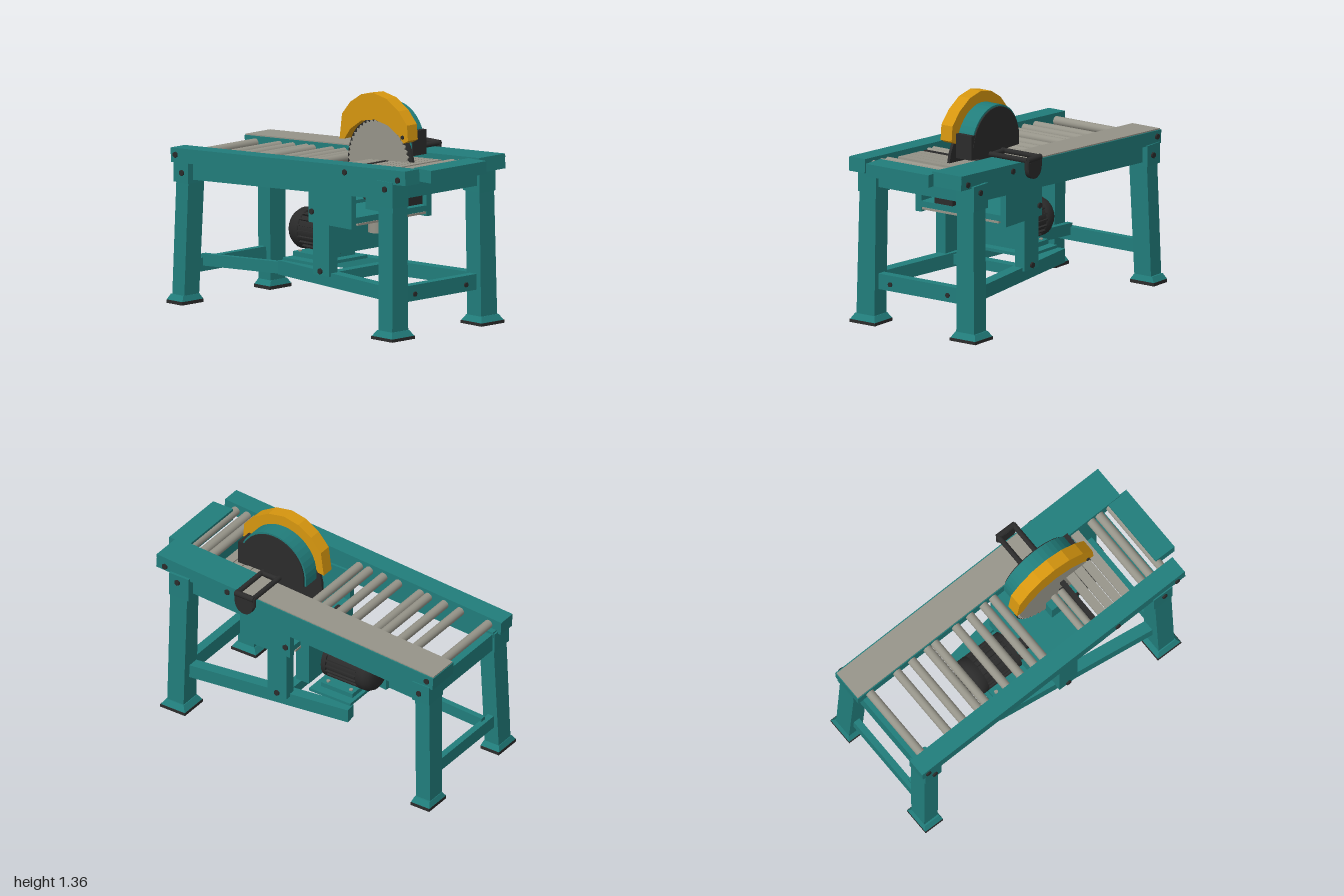
import * as THREE from 'three';

const mat = (name, color) => {
  const m = new THREE.MeshStandardMaterial({ color });
  m.name = name;
  return m;
};

export function createModel() {
  const root = new THREE.Group();
  root.name = 'rollerBenchSaw';
  const teal = mat('tealPaint', 0x217d7b), grey = mat('bareSteel', 0x969489);
  const dark = mat('blackRubber', 0x2b2b2b), yellow = mat('guardYellow', 0xd6960f);

  const add = (name, geo, m, x = 0, y = 0, z = 0) => {
    const mesh = new THREE.Mesh(geo, m);
    mesh.name = name;
    mesh.position.set(x, y, z);
    root.add(mesh);
    return mesh;
  };
  // box given by its limits
  const box = (name, m, x0, x1, y0, y1, z0, z1) =>
    add(name, new THREE.BoxGeometry(x1 - x0, y1 - y0, z1 - z0), m, (x0 + x1) / 2, (y0 + y1) / 2, (z0 + z1) / 2);
  // straight beam between two points, height h and depth d
  const beam = (name, m, a, b, h, d) => {
    const p = new THREE.Vector3(...a), q = new THREE.Vector3(...b);
    const mesh = add(name, new THREE.BoxGeometry(p.distanceTo(q), h, d), m);
    mesh.position.copy(p).add(q).multiplyScalar(0.5);
    mesh.quaternion.setFromUnitVectors(new THREE.Vector3(1, 0, 0), q.sub(p).normalize());
    return mesh;
  };
  // tapered post between two rectangles [x, y, z, width, depth]
  const post = (name, m, lo, hi) => {
    const g = new THREE.BoxGeometry(1, 1, 1), p = g.attributes.position;
    for (let i = 0; i < p.count; i++) {
      const e = p.getY(i) > 0 ? hi : lo;
      p.setXYZ(i, e[0] + p.getX(i) * e[3], e[1], e[2] + p.getZ(i) * e[4]);
    }
    g.computeVertexNormals();
    return add(name, g, m);
  };
  // cylinder along x, y or z
  const rod = (name, m, axis, r, len, x, y, z, seg = 16) => {
    const g = new THREE.CylinderGeometry(r, r, len, seg);
    if (axis === 'x') g.rotateZ(Math.PI / 2);
    if (axis === 'z') g.rotateX(Math.PI / 2);
    return add(name, g, m, x, y, z);
  };
  const plate = (name, m, pts, z0, z1) => {
    const s = new THREE.Shape(pts.map(p => new THREE.Vector2(p[0], p[1])));
    return add(name, new THREE.ExtrudeGeometry(s, { depth: z1 - z0, bevelEnabled: false }), m, 0, 0, z0);
  };
  const top = x => 0.912 + 0.0605 * (x + 1); // sloping bed surface

  // Sloping side rails
  const rail = (name, m, x0, x1, drop, h, z0, z1) => {
    const z = (z0 + z1) / 2, c = drop + h / 2;
    return beam(name, m, [x0, top(x0) - c, z], [x1, top(x1) - c, z], h, z1 - z0);
  };
  rail('frontRail', teal, -0.997, 0.95, 0, 0.085, 0.295, 0.41);
  rail('backRail', teal, -0.997, 0.95, 0.004, 0.081, -0.4, -0.19);
  rail('backRailCover', teal, 0.35, 0.95, -0.002, 0.02, -0.4, -0.19);
  rail('fencePlate', grey, -0.995, 0.35, -0.003, 0.008, -0.392, -0.195);
  for (const s of [1, -1])
    rail('lowerRail', teal, -0.9, 0.75, 0.085, 0.1, s > 0 ? 0.3 : -0.37, s > 0 ? 0.37 : -0.3);

  // End beams and outfeed block
  box('leftEndBeam', teal, -0.96, -0.89, 0.725, 0.835, -0.3, 0.3);
  box('rightEndBeam', teal, 0.74, 0.83, 0.84, 0.94, -0.3, 0.3);
  box('outfeedBlock', teal, 0.86, 1, 0.945, 1.02, -0.2, 0.25);

  for (const s of [1, -1]) {
    // Legs, brackets and feet
    post('rightLeg', teal, [0.8, 0.06, s * 0.36, 0.115, 0.13], [0.785, 0.95, s * 0.35, 0.12, 0.115]);
    post('rightLegBracket', teal, [0.783, 0.8, s * 0.352, 0.137, 0.13], [0.782, 0.95, s * 0.352, 0.137, 0.13]);
    post('rightFoot', teal, [0.8, 0.035, s * 0.362, 0.17, 0.18], [0.8, 0.07, s * 0.362, 0.125, 0.14]);
    box('rightFootPad', dark, 0.713, 0.887, 0.018, 0.036, s * 0.362 - 0.092, s * 0.362 + 0.092);
    post('leftLeg', teal, [-0.935, 0.04, s * 0.35, 0.1, 0.12], [-0.915, 0.85, s * 0.325, 0.1, 0.13]);
    post('leftLegBracket', teal, [-0.915, 0.715, s * 0.335, 0.12, 0.145], [-0.915, 0.84, s * 0.335, 0.12, 0.145]);
    post('leftFoot', teal, [-0.935, 0.02, s * 0.355, 0.13, 0.17], [-0.935, 0.052, s * 0.355, 0.105, 0.13]);
    box('leftFootPad', dark, -1, -0.87, 0, 0.02, s * 0.355 - 0.087, s * 0.355 + 0.087);

    // Converging base beams, hanger column and side plate
    beam('baseBeam', teal, [-0.28, 0.278, s * 0.2], [0.76, 0.278, s * 0.34], 0.083, 0.07);
    box('hangerColumn', teal, 0.09, 0.225, 0.3, 0.64, s * 0.285 - 0.035, s * 0.285 + 0.035);
    box('sidePlate', teal, 0.06, 0.415, 0.605, 0.87, s * 0.305 - 0.02, s * 0.305 + 0.02);

    // Bolt heads on the sides
    const bolts = [[-0.955, 0.875, s > 0 ? 0.412 : 0.402], [-0.905, 0.775, 0.41], [0.45, 0.96, s > 0 ? 0.412 : 0.402],
      [0.89, 0.97, s > 0 ? 0.412 : 0.402], [0.79, 0.905, 0.42], [0.09, 0.67, 0.328], [0.155, 0.325, 0.323]];
    for (const [x, y, z] of bolts) rod('boltHead', dark, 'z', 0.018, 0.016, x, y, s * z, 6);
    rod('stretcherBolt', dark, 'x', 0.015, 0.012, 0.823, 0.265, s * 0.207, 6);
  }

  // Low stretchers
  beam('frontThinStretcher', teal, [-0.93, 0.237, 0.21], [-0.27, 0.275, 0.21], 0.07, 0.035);
  box('leftStretcher', teal, -0.955, -0.915, 0.17, 0.25, -0.31, 0.31);
  box('rightStretcher', teal, 0.765, 0.82, 0.225, 0.318, -0.31, 0.31);
  box('baseCrossBar', teal, 0.12, 0.18, 0.25, 0.31, -0.27, 0.27);

  // Rollers
  for (const x of [-0.91, -0.71, -0.6, -0.485, -0.43, -0.275, -0.17, -0.07, 0, 0.73, 0.79, 0.87])
    rod('roller', grey, 'z', 0.027, 0.5, x, top(x) - 0.045, 0.05);
  for (const x of [0.28, 0.33])
    rod('shortRoller', grey, 'z', 0.023, 0.27, x, top(x) - 0.045, 0.165);
  for (const x of [0.43, 0.49, 0.55, 0.61])
    rail('tableSlat', grey, x - 0.027, x + 0.027, 0.03, 0.02, -0.19, 0.29);
  rail('tableSlot', dark, 0.355, 0.385, 0.03, 0.03, -0.15, 0.29);

  // Motor with cooling fins, on its mounting plates
  const my = 0.48, mz = -0.01;
  rod('motorBody', dark, 'x', 0.108, 0.25, -0.145, my, mz, 24);
  const cap = new THREE.LatheGeometry([[0, 0], [0.07, 0], [0.105, 0.02], [0.122, 0.05], [0.122, 0.1], [0.1, 0.1]]
    .map(p => new THREE.Vector2(...p)), 24);
  cap.rotateZ(-Math.PI / 2);
  add('motorFanCap', cap, dark, -0.362, my, mz).material.side = THREE.DoubleSide;
  for (let i = 0; i < 20; i++) {
    const a = i * Math.PI / 10;
    const fin = add('motorFin', new THREE.BoxGeometry(0.22, 0.018, 0.01), dark,
      -0.15, my + 0.112 * Math.cos(a), mz + 0.112 * Math.sin(a));
    fin.rotation.x = a;
  }
  rod('motorFlange', dark, 'x', 0.12, 0.03, -0.035, my, mz, 24);
  rod('motorShaft', grey, 'x', 0.02, 0.06, 0, my, mz);
  box('motorBasePlate', teal, -0.27, 0.02, 0.318, 0.336, -0.19, 0.21);
  box('motorFootPlate', teal, -0.25, -0.03, 0.34, 0.368, -0.14, 0.15);
  for (const x of [-0.22, -0.06]) for (const z of [-0.11, 0.12])
    rod('motorBolt', grey, 'y', 0.012, 0.05, x, 0.35, z, 8);

  // Drive housing and arbor parts beneath the table
  box('driveHousing', teal, 0, 0.09, 0.39, 0.69, -0.22, 0.23);
  box('tray', teal, 0.06, 0.415, 0.635, 0.67, -0.285, 0.285);
  box('trayEdge', grey, 0.055, 0.42, 0.622, 0.635, -0.275, 0.275);
  rod('arborPulley', grey, 'y', 0.055, 0.1, 0.3, 0.585, 0);
  box('arborMount', teal, 0.25, 0.45, 0.67, 0.79, -0.07, 0.05);
  box('arborArm', dark, 0.42, 0.595, 0.73, 0.785, -0.075, 0.055);
  rod('arborPost', dark, 'y', 0.035, 0.12, 0.38, 0.8, -0.015, 8);
  box('controlBlock', dark, -0.03, 0.03, 0.7, 0.745, 0.05, 0.12);
  box('controlStem', dark, -0.015, 0.03, 0.52, 0.71, 0.07, 0.1);

  // Toothed blade with a dark rear disc
  const teeth = [];
  for (let i = 0; i < 96; i++) {
    const a = i * Math.PI / 48, r = i % 2 ? 0.238 : 0.256;
    teeth.push([0.3 + r * Math.cos(a), 0.94 + r * Math.sin(a)]);
  }
  plate('sawBlade', grey, teeth, -0.016, -0.008);
  rod('bladeBacking', dark, 'z', 0.268, 0.018, 0.305, 0.94, -0.026, 40);

  // Curved blade guard
  plate('bladeGuard', yellow, [[0.01, 1.05], [0.05, 1.055], [0.1, 1.12], [0.19, 1.18], [0.3, 1.2], [0.41, 1.18],
    [0.5, 1.13], [0.54, 1.09], [0.578, 1.11], [0.57, 1.2], [0.5, 1.275], [0.4, 1.335], [0.29, 1.356],
    [0.19, 1.335], [0.1, 1.28], [0.03, 1.2]], -0.055, 0.025);
  rod('guardBolt', dark, 'z', 0.012, 0.01, 0.535, 1.125, 0.027, 6);

  // Rear cover
  const arc = r => {
    const pts = [[0.295 + r, 1.01]];
    for (let i = 0; i <= 20; i++)
      pts.push([0.295 + r * Math.cos(i * Math.PI / 20), 1.055 + r * Math.sin(i * Math.PI / 20)]);
    return [...pts, [0.295 - r, 1.01]];
  };
  plate('rearCover', teal, arc(0.233), -0.16, -0.055);
  plate('rearCoverFace', dark, arc(0.222), -0.168, -0.16);
  box('rearCoverEnd', dark, 0.47, 0.536, 1.005, 1.15, -0.166, -0.056);

  // Pull handle
  for (const x of [0.243, 0.357]) {
    rod('handleBar', dark, 'z', 0.016, 0.27, x, 1.01, -0.305, 10);
    rod('handleDrop', dark, 'y', 0.017, 0.06, x, 0.985, -0.437, 10);
  }
  rod('handleCross', dark, 'x', 0.018, 0.13, 0.3, 1.01, -0.44, 10);
  rod('handleBridge', dark, 'x', 0.015, 0.12, 0.3, 1.01, -0.185, 10);
  rod('handleKnob', dark, 'z', 0.062, 0.03, 0.3, 0.955, -0.437, 20);
  return root;
}
